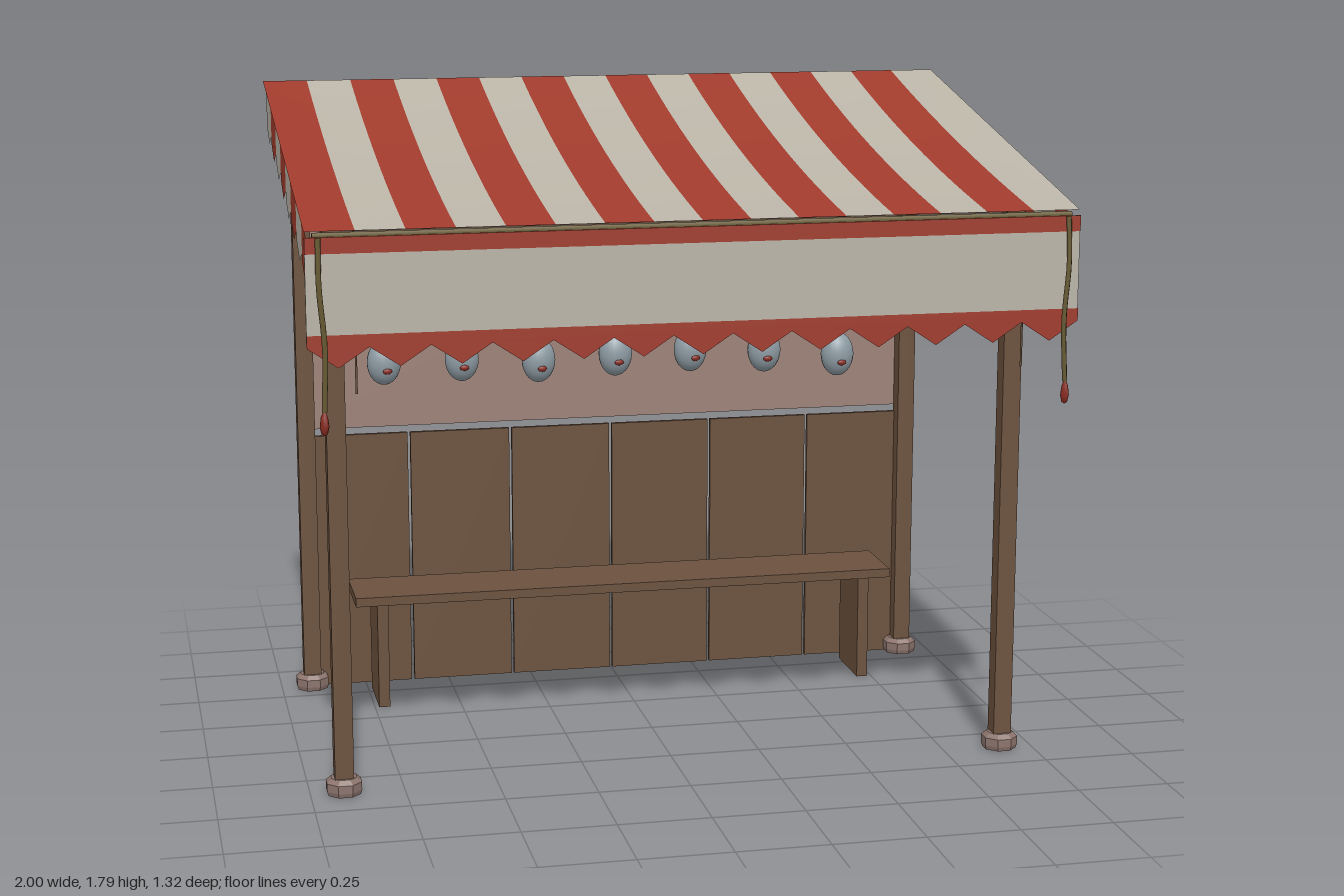
import * as THREE from 'three';

const mat = (name, color, flatShading = false) => {
  const m = new THREE.MeshStandardMaterial({ color, side: THREE.DoubleSide, flatShading });
  m.name = name;
  return m;
};

export function createModel() {
  const red = mat('red cloth', 0xa03b2d);
  const cream = mat('cream cloth', 0xbab4a7);
  const wood = mat('brown wood', 0x6c523e);
  const mauve = mat('mauve cloth', 0x9c8178);
  const stone = mat('foot stone', 0x8c746d, true);
  const glaze = mat('blue grey glaze', 0x8f9da5);
  const bamboo = mat('olive bamboo', 0x675a33);
  const lipRed = mat('dark red', 0x8a2c22);

  const model = new THREE.Group();
  model.name = 'marketStall';

  const add = (name, geo, material, x = 0, y = 0, z = 0, parent = model) => {
    const mesh = new THREE.Mesh(geo, material);
    mesh.name = name;
    mesh.position.set(x, y, z);
    parent.add(mesh);
    return mesh;
  };
  // box given by its limits
  const box = (name, material, x0, x1, y0, y1, z0, z1) =>
    add(name, new THREE.BoxGeometry(x1 - x0, y1 - y0, z1 - z0), material,
      (x0 + x1) / 2, (y0 + y1) / 2, (z0 + z1) / 2);
  const polygon = (points) =>
    new THREE.ShapeGeometry(new THREE.Shape(points.map(([x, y]) => new THREE.Vector2(x, y))));
  const rod = (name, material, radius, length, x, y, z, sides = 8) => {
    const mesh = add(name, new THREE.CylinderGeometry(radius, radius, length, sides), material, x, y, z);
    mesh.rotation.z = Math.PI / 2;
    return mesh;
  };

  // sloping canopy: straight edges, sagging slightly in the middle
  const zFront = 0.62, zBack = -0.66, yFront = 1.535, yBack = 1.795;
  const slopeY = (z) => yFront + (yBack - yFront) * (zFront - z) / (zFront - zBack);
  const stripes = 16, stripeW = 2 / stripes;
  for (let i = 0; i < stripes; i++) {
    const geo = new THREE.PlaneGeometry(stripeW, zFront - zBack, 2, 14);
    geo.rotateX(-Math.PI / 2);
    geo.translate(-1 + (i + 0.5) * stripeW, 0, (zFront + zBack) / 2);
    const p = geo.attributes.position;
    for (let k = 0; k < p.count; k++) {
      const x = p.getX(k), z = p.getZ(k);
      const t = (zFront - z) / (zFront - zBack);
      p.setY(k, slopeY(z) - 0.025 * 4 * t * (1 - t) * (1 - x ** 8));
    }
    geo.computeVertexNormals();
    add('canopyStripe', geo, i % 2 ? cream : red);
  }

  // side valances: eight pointed flaps following the slope
  const flaps = 8, flapW = 1.275 / flaps;
  for (const side of [-1, 1]) {
    for (let i = 0; i < flaps; i++) {
      const z0 = zFront - i * flapW, z1 = z0 - flapW, zm = (z0 + z1) / 2;
      const top = (z) => slopeY(z) - 0.025;
      const geo = polygon([
        [-z0, top(z0)], [-z0, top(z0) - 0.085], [-zm, top(zm) - 0.13],
        [-z1, top(z1) - 0.105], [-z1, top(z1)],
      ]);
      geo.rotateY(Math.PI / 2);
      add('sideFlap', geo, i % 2 ? cream : red, side * 0.992);
    }
  }

  // front valance with red top band and zigzag hem
  box('frontValance', cream, -1, 1, 1.25, 1.52, 0.617, 0.626);
  box('valanceTopBand', red, -1, 1, 1.48, 1.521, 0.625, 0.629);
  const teeth = 13, toothW = 2 / teeth;
  const hem = [[1, 1.278], [-1, 1.278], [-1, 1.246]];
  for (let i = 0; i < teeth; i++) {
    hem.push([-1 + (i + 0.5) * toothW, 1.195], [-1 + (i + 1) * toothW, 1.246]);
  }
  add('valanceHem', polygon(hem), red, 0, 0, 0.629);
  rod('frontRod', bamboo, 0.009, 1.96, 0, 1.522, 0.612);

  // posts with chunky eight-sided feet
  const footProfile = [[0, 0], [0.046, 0], [0.05, 0.012], [0.05, 0.034], [0.036, 0.046], [0, 0.046]]
    .map(([r, y]) => new THREE.Vector2(r, y));
  for (const side of [-1, 1]) {
    for (const [z, top] of [[0.363, 1.56], [-0.582, 1.75]]) {
      add('post', new THREE.BoxGeometry(0.05, top, 0.05), wood, side * 0.911, top / 2, z);
      const foot = add('postFoot', new THREE.LatheGeometry(footProfile, 8), stone, side * 0.911, 0, z);
      foot.rotation.y = Math.PI / 8;
    }
  }
  box('frontBeam', wood, -0.89, 0.89, 1.5, 1.545, 0.343, 0.383);

  // back wall: boards below, cloth above
  const boardW = 1.82 / 6;
  for (let i = 0; i < 6; i++) {
    const x = -0.91 + i * boardW;
    box('wallBoard', wood, x + 0.004, x + boardW - 0.004, 0, 0.76, -0.612, -0.598);
  }
  box('wallCloth', mauve, -0.905, 0.905, 0.78, 1.755, -0.611, -0.605);

  // bench
  box('benchSeat', wood, -0.8, 0.8, 0.308, 0.334, -0.555, -0.335);
  for (const side of [-1, 1]) {
    add('benchLeg', new THREE.BoxGeometry(0.032, 0.308, 0.195), wood, side * 0.722, 0.154, -0.443);
  }

  // hanging egg-shaped ornaments
  rod('ornamentRod', bamboo, 0.009, 1.7, 0, 1.178, -0.52);
  const ornamentX = [-0.685, -0.457, -0.23, 0, 0.227, 0.453, 0.68];
  const ornamentY = [0.988, 0.99, 0.978, 0.988, 0.992, 0.982, 0.961];
  const turn = [0.15, 0.05, 0.12, 0.1, 0.2, 0.05, 0.1];
  ornamentX.forEach((x, i) => {
    const ornament = new THREE.Group();
    ornament.name = 'ornament';
    ornament.position.set(x, ornamentY[i], -0.52);
    ornament.rotation.y = turn[i];
    model.add(ornament);
    const body = add('ornamentBody', new THREE.SphereGeometry(1, 20, 14), glaze, 0, 0, 0, ornament);
    body.scale.set(0.05, 0.066, 0.043);
    const mouth = add('ornamentMouth', new THREE.SphereGeometry(1, 10, 6), lipRed, 0, -0.02, 0.04, ornament);
    mouth.scale.set(0.014, 0.009, 0.006);
    const length = 1.178 - ornamentY[i] - 0.06;
    add('ornamentString', new THREE.CylinderGeometry(0.0025, 0.0025, length, 5), bamboo,
      0, 0.06 + length / 2, 0, ornament);
  });

  // corner ropes with tassels, and thin inner cords
  const tasselProfile = [[0, -0.035], [0.008, -0.03], [0.012, -0.012], [0.009, 0.012], [0, 0.035]]
    .map(([r, y]) => new THREE.Vector2(r, y));
  for (const side of [-1, 1]) {
    const path = new THREE.CatmullRomCurve3([
      [0.967, 1.52, 0.63], [0.968, 1.4, 0.64], [0.957, 1.25, 0.643], [0.962, 1.09, 0.648],
    ].map(([x, y, z]) => new THREE.Vector3(side * x, y, z)));
    add('cornerRope', new THREE.TubeGeometry(path, 12, 0.007, 6), bamboo);
    add('ropeTassel', new THREE.LatheGeometry(tasselProfile, 8), lipRed, side * 0.963, 1.065, 0.648);
    add('innerCord', new THREE.CylinderGeometry(0.003, 0.003, 0.42, 5), wood, side * 0.873, 1.325, 0.557);
  }
  return model;
}
